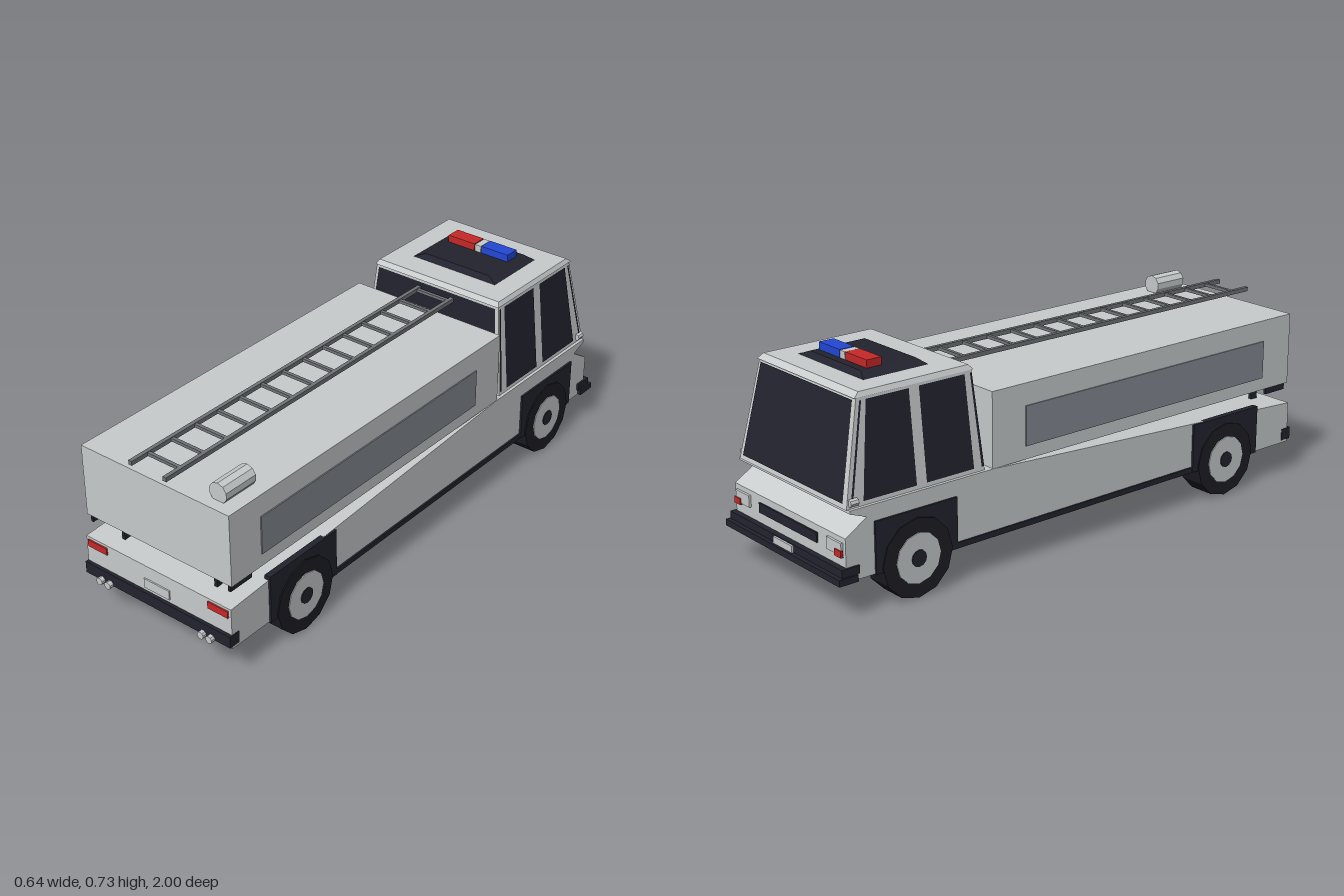
import * as THREE from 'three';

const mat = (name, color) => new THREE.MeshStandardMaterial({ name, color, flatShading: true });

export function createModel() {
  const root = new THREE.Group();
  root.name = 'fireTruck';
  const paint = mat('palePaint', 0xc8cccd);
  const dark = mat('darkTrim', 0x23232f);
  const rubber = mat('tyreRubber', 0x1d1d25);
  const glass = mat('greyPanel', 0x868b93);
  const steel = mat('ladderSteel', 0x707378);
  const red = mat('redLamp', 0xc62828);
  const blue = mat('blueLamp', 0x2448d6);

  const add = (name, geo, material) => {
    const m = new THREE.Mesh(geo, material);
    m.name = name;
    root.add(m);
    return m;
  };
  // Box given by its limits on each axis
  const box = (name, material, [x0, x1], [y0, y1], [z0, z1]) => {
    const m = add(name, new THREE.BoxGeometry(x1 - x0, y1 - y0, z1 - z0), material);
    m.position.set((x0 + x1) / 2, (y0 + y1) / 2, (z0 + z1) / 2);
    return m;
  };
  // Box with the same limits on both sides of the truck
  const pair = (name, material, [x0, x1], y, z) => {
    box(name + 'Left', material, [x0, x1], y, z);
    box(name + 'Right', material, [-x1, -x0], y, z);
  };
  // Tapered block: each end is [halfWidth, y, zBack, zFront]
  const taper = (name, material, [w0, y0, a0, b0], [w1, y1, a1, b1]) => {
    const geo = new THREE.BoxGeometry(2, 2, 2);
    const p = geo.attributes.position;
    for (let i = 0; i < p.count; i++) {
      const up = p.getY(i) > 0, rear = p.getZ(i) > 0;
      p.setXYZ(i, Math.sign(p.getX(i)) * (up ? w1 : w0), up ? y1 : y0, up ? (rear ? a1 : b1) : (rear ? a0 : b0));
    }
    geo.computeVertexNormals();
    return add(name, geo, material);
  };
  // Flat four-cornered panel, counter-clockwise seen from outside, lifted off its surface
  const panel = (name, material, corners, lift = 0.003) => {
    const [a, b, c, d] = corners.map((v) => new THREE.Vector3(...v));
    const n = b.clone().sub(a).cross(d.clone().sub(a)).normalize().multiplyScalar(lift);
    const geo = new THREE.BufferGeometry().setFromPoints([a, b, c, a, c, d].map((v) => v.clone().add(n)));
    geo.computeVertexNormals();
    return add(name, geo, material);
  };

  // Lower body: side profile (forward, up) with the notched nose and sloping deck
  const profile = [[-0.97, 0.12], [0.965, 0.12], [0.965, 0.262], [0.885, 0.312], [0.945, 0.335], [0.945, 0.346], [0.4, 0.346], [-0.97, 0.267]];
  const shape = new THREE.Shape(profile.map(([s, y]) => new THREE.Vector2(s, y)));
  const body = new THREE.ExtrudeGeometry(shape, { depth: 0.61, bevelEnabled: false });
  body.translate(0, 0, -0.305).rotateY(Math.PI / 2);
  add('lowerBody', body, paint);
  pair('sill', dark, [0.3, 0.311], [0.119, 0.138], [-0.55, 0.48]);

  // Cargo box with side panels
  box('cargoBox', paint, [-0.303, 0.303], [0.345, 0.6], [-0.4, 0.96]);
  pair('cargoPanel', glass, [0.3, 0.307], [0.39, 0.525], [-0.265, 0.825]);

  // Rear support rail under the box
  box('supportRail', dark, [-0.293, 0.293], [0.322, 0.336], [0.885, 0.92]);
  pair('railEnd', dark, [0.283, 0.293], [0.319, 0.344], [0.86, 0.955]);
  pair('railPost', dark, [0.189, 0.201], [0.265, 0.325], [0.885, 0.915]);

  // Cab: tapered shell and chamfered roof
  const W0 = 0.294, W1 = 0.26, Y0 = 0.345, Y1 = 0.672;
  const lerp = THREE.MathUtils.lerp;
  const tOf = (y) => (y - Y0) / (Y1 - Y0);
  const halfW = (y) => lerp(W0, W1, tOf(y));
  const backZ = (y) => lerp(-0.425, -0.447, tOf(y));
  const frontZ = (y) => lerp(-0.95, -0.88, tOf(y));
  taper('cab', paint, [W0, Y0, backZ(Y0), frontZ(Y0)], [W1, Y1, backZ(Y1), frontZ(Y1)]);
  taper('cabRoof', paint, [0.263, Y1, -0.442, -0.888], [0.255, 0.688, -0.455, -0.868]);

  // Cab glass
  const yb = 0.36, yt = 0.663;
  panel('windscreen', dark, [
    [halfW(yb) - 0.018, yb, frontZ(yb)], [-halfW(yb) + 0.018, yb, frontZ(yb)],
    [-halfW(yt) + 0.014, yt, frontZ(yt)], [halfW(yt) - 0.014, yt, frontZ(yt)]]);
  panel('rearWindow', dark, [
    [-halfW(Y0) + 0.012, Y0, backZ(Y0)], [halfW(Y0) - 0.012, Y0, backZ(Y0)],
    [halfW(yt) - 0.012, yt, backZ(yt)], [-halfW(yt) + 0.012, yt, backZ(yt)]]);
  const sideGlass = (name, [rb, fb], [rt, ft]) => {
    const right = [[-halfW(yb), yb, fb], [-halfW(yb), yb, rb], [-halfW(yt), yt, rt], [-halfW(yt), yt, ft]];
    const left = [1, 0, 3, 2].map((i) => [-right[i][0], right[i][1], right[i][2]]);
    panel(name + 'Left', dark, left);
    panel(name + 'Right', dark, right);
  };
  sideGlass('rearSideWindow', [-0.468, -0.652], [-0.477, -0.652]);
  sideGlass('frontSideWindow', [-0.69, -0.888], [-0.69, -0.848]);
  sideGlass('frontPillarSeam', [-0.926, -0.934], [-0.864, -0.871]);
  sideGlass('rearPillarSeam', [-0.428, -0.438], [-0.449, -0.456]);

  // Roof plinth and light bar
  taper('roofPlinth', dark, [0.18, 0.686, -0.545, -0.793], [0.135, 0.704, -0.565, -0.773]);
  box('redBeacon', red, [-0.128, -0.016], [0.704, 0.73], [-0.745, -0.69]);
  box('beaconCentre', paint, [-0.013, 0.012], [0.704, 0.729], [-0.745, -0.69]);
  box('blueBeacon', blue, [0.015, 0.126], [0.704, 0.73], [-0.745, -0.69]);

  // Ladder
  for (const s of [-1, 1]) box('ladderRail', steel, [s * 0.07 - 0.007, s * 0.07 + 0.007], [0.633, 0.648], [-0.45, 0.98]);
  for (let i = 0; i < 14; i++) {
    const z = -0.425 + i * 0.1025;
    box('ladderRung', steel, [-0.066, 0.066], [0.635, 0.646], [z - 0.006, z + 0.006]);
  }

  // Cylinders lying along z
  const rod = (name, material, r, len, n, x, y, z) => {
    const m = add(name, new THREE.CylinderGeometry(r, r, len, n).rotateX(Math.PI / 2), material);
    m.position.set(x, y, z);
  };
  rod('roofDrum', paint, 0.035, 0.13, 10, 0.226, 0.627, 0.855);
  for (const x of [-0.235, -0.199, 0.197, 0.232]) rod('exhaustPipe', paint, 0.013, 0.06, 10, x, 0.134, 0.967);
  for (const s of [-1, 1]) rod('cornerLamp', paint, 0.013, 0.03, 8, s * 0.293, 0.364, -0.925);

  // Wheels and arches
  for (const [end, z, z0, z1] of [['rear', 0.64, 0.483, 0.8], ['front', -0.705, -0.86, -0.548]]) {
    pair(end + 'Arch', dark, [0.29, 0.312], [0.119, 0.292], [z0, z1]);
    for (const s of [-1, 1]) {
      const disc = (name, material, r, x0, x1) => {
        const m = add(end + name, new THREE.CylinderGeometry(r, r, x1 - x0, 12).rotateZ(Math.PI / 2), material);
        m.position.set(s * (x0 + x1) / 2, 0.133, z);
      };
      disc('Tyre', rubber, 0.133, 0.224, 0.316);
      disc('Hub', paint, 0.084, 0.222, 0.319);
      disc('HubCap', dark, 0.028, 0.3, 0.322);
    }
  }

  // Rear details
  box('rearBumper', dark, [-0.307, 0.307], [0.13, 0.172], [0.94, 0.982]);
  pair('tailLamp', red, [0.213, 0.295], [0.233, 0.258], [0.965, 0.975]);
  box('rearPlate', paint, [-0.054, 0.052], [0.185, 0.219], [0.967, 0.975]);

  // Front details
  box('frontBumper', dark, [-0.318, 0.318], [0.12, 0.142], [-1, -0.93]);
  box('frontBumperUpper', dark, [-0.312, 0.312], [0.142, 0.168], [-0.985, -0.92]);
  box('frontPlate', paint, [-0.052, 0.052], [0.135, 0.165], [-0.992, -0.984]);
  box('grille', dark, [-0.16, 0.16], [0.205, 0.238], [-0.971, -0.963]);
  pair('headlamp', paint, [0.215, 0.292], [0.205, 0.245], [-0.973, -0.964]);
  pair('indicator', red, [0.262, 0.296], [0.2, 0.222], [-0.977, -0.968]);
  panel('noseVent', dark, [[-0.07, 0.329, -0.93], [0.07, 0.329, -0.93], [0.07, 0.318, -0.9], [-0.07, 0.318, -0.9]]);

  return root;
}
